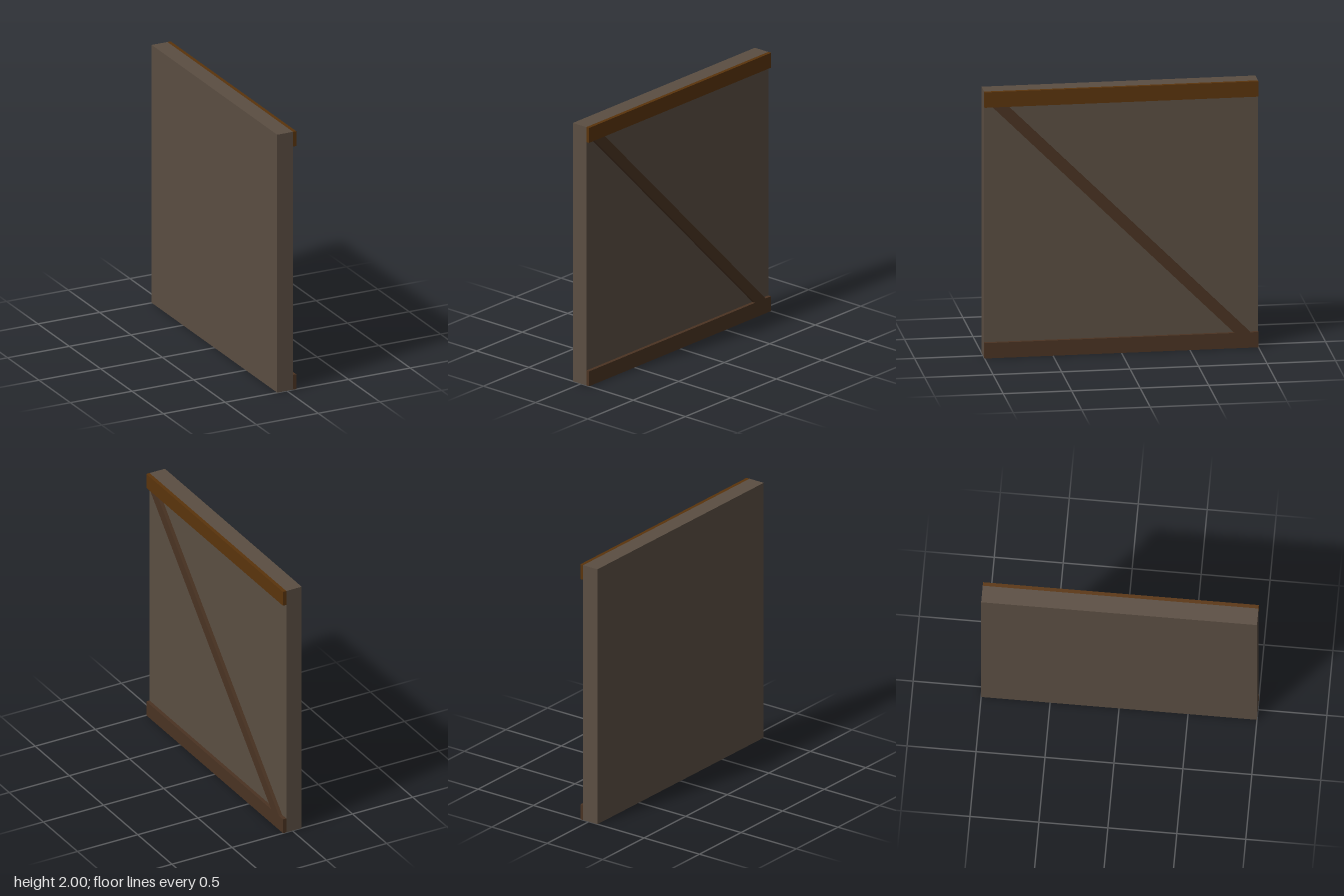
import * as THREE from 'three';

const SIZE = 2, BACK = -0.078, FACE = 0.05, FRONT = 0.077, BEAM = 0.115;

const material = (name, color) => {
  const m = new THREE.MeshStandardMaterial({ color });
  m.name = name;
  return m;
};

export function createModel() {
  const group = new THREE.Group();
  group.name = 'timberWall';
  const plaster = material('grey brown plaster', 0x5b4e42);
  const darkWood = material('dark wood', 0x4a3322);
  const warmWood = material('warm wood', 0x5a340c);

  // Full-depth slab between two x planes and two heights
  const slab = (name, x0, x1, y0, y1, mat) => {
    const mesh = new THREE.Mesh(new THREE.BoxGeometry(x1 - x0, y1 - y0, SIZE), mat);
    mesh.position.set((x0 + x1) / 2, (y0 + y1) / 2, 0);
    mesh.name = name;
    group.add(mesh);
  };
  slab('wallPanel', BACK, FACE, 0, SIZE, plaster);
  slab('bottomBeam', FACE, FRONT, 0, BEAM, darkWood);
  slab('topBeam', FACE, FRONT, SIZE - BEAM, SIZE, warmWood);

  // Diagonal brace: a parallelogram drawn in (-z, y), extruded outward along +x
  const shape = new THREE.Shape([
    new THREE.Vector2(-0.94, SIZE - BEAM),
    new THREE.Vector2(0.825, BEAM),
    new THREE.Vector2(0.94, BEAM),
    new THREE.Vector2(-0.825, SIZE - BEAM),
  ]);
  const geometry = new THREE.ExtrudeGeometry(shape, { depth: FRONT - FACE, bevelEnabled: false });
  geometry.rotateY(Math.PI / 2);
  geometry.translate(FACE, 0, 0);
  const brace = new THREE.Mesh(geometry, darkWood);
  brace.name = 'diagonalBrace';
  group.add(brace);

  return group;
}
